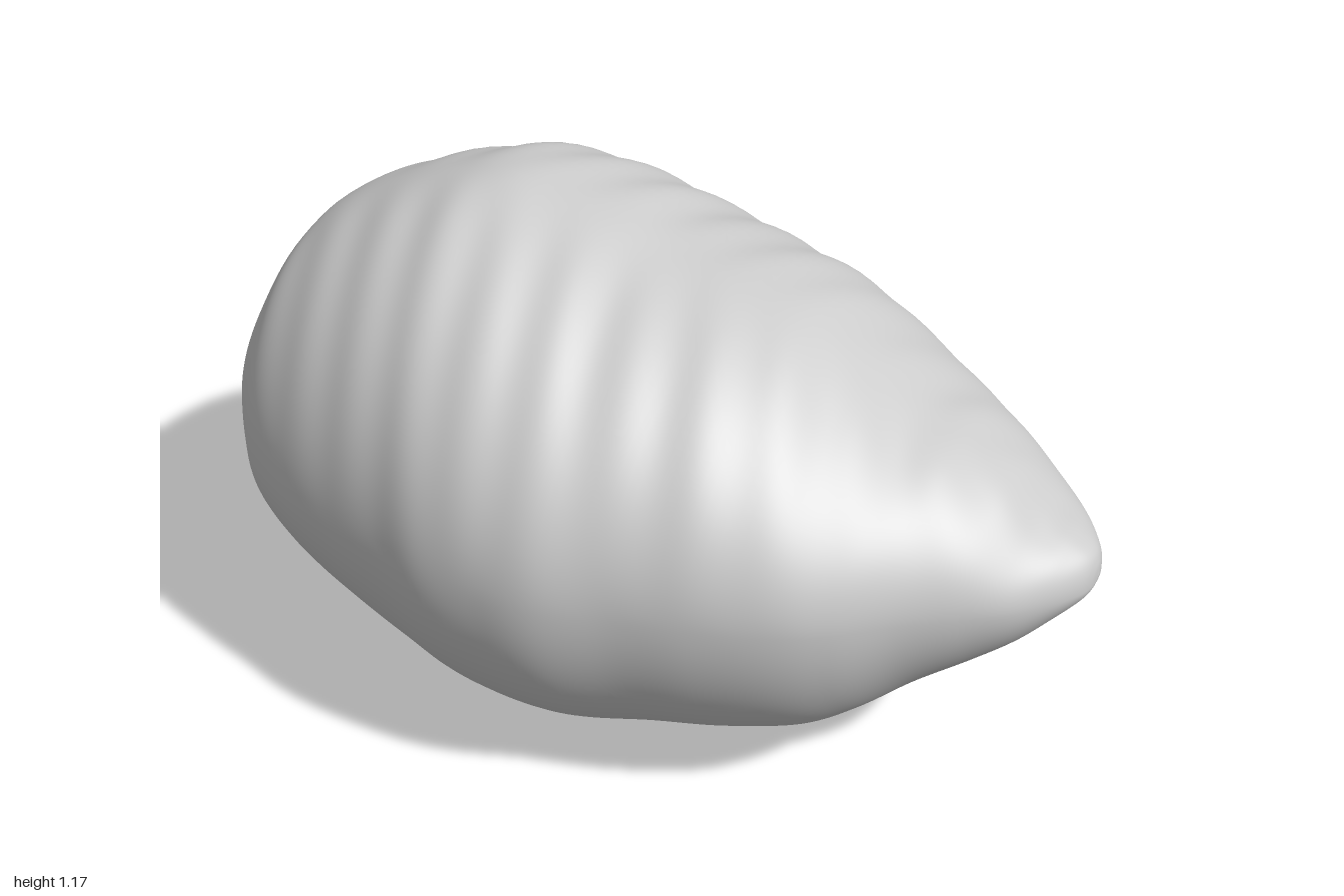
import * as THREE from 'three';

// Stations along the body: x, top y, bottom y, back half-width, front half-width
const STATIONS = [
  [-1, 0.54, 0.54, 0, 0],
  [-0.995, 0.58, 0.50, 0.05, 0.05],
  [-0.98, 0.615, 0.47, 0.10, 0.10],
  [-0.94, 0.67, 0.425, 0.17, 0.165],
  [-0.88, 0.80, 0.365, 0.26, 0.25],
  [-0.8, 0.935, 0.28, 0.36, 0.35],
  [-0.73, 1.01, 0.23, 0.43, 0.42],
  [-0.6, 1.085, 0.165, 0.49, 0.49],
  [-0.45, 1.145, 0.10, 0.54, 0.54],
  [-0.32, 1.172, 0.05, 0.588, 0.575],
  [-0.2, 1.155, 0.02, 0.62, 0.61],
  [-0.07, 1.125, 0.002, 0.615, 0.618],
  [0.05, 1.085, 0.012, 0.61, 0.61],
  [0.2, 1.055, 0.045, 0.57, 0.56],
  [0.35, 1.01, 0.08, 0.535, 0.52],
  [0.5, 0.92, 0.13, 0.48, 0.465],
  [0.6, 0.86, 0.20, 0.425, 0.405],
  [0.7, 0.825, 0.29, 0.35, 0.32],
  [0.8, 0.775, 0.37, 0.27, 0.25],
  [0.88, 0.71, 0.44, 0.21, 0.19],
  [0.94, 0.68, 0.505, 0.14, 0.125],
  [0.98, 0.655, 0.55, 0.075, 0.07],
  [0.995, 0.63, 0.575, 0.035, 0.035],
  [1, 0.60, 0.60, 0, 0],
];

// Smooth curve through chosen columns of the stations
const column = (a, b) => new THREE.CatmullRomCurve3(
  STATIONS.map((s) => new THREE.Vector3(s[0], s[a], s[b])), false, 'catmullrom', 0.5);

function bodyGeometry(rings, sides) {
  const heights = column(1, 2), widths = column(3, 4);
  const positions = [], index = [];
  for (let i = 0; i <= rings; i++) {
    const h = heights.getPoint(i / rings), w = widths.getPoint(i / rings);
    const x = h.x, top = h.y, bottom = h.z;
    const axis = Math.min(top, Math.max(bottom, 0.59 + 0.03 * Math.min(0, x)));
    for (let j = 0; j < sides; j++) {
      const a = (j / sides) * Math.PI * 2, s = Math.sin(a), c = Math.cos(a);
      // Faint growth ridges over the upper half, fading at the crown line and tips
      const fade = Math.max(0, s) * Math.min(1, Math.abs(c) * 3) * Math.max(0, 1 - x * x);
      const bump = 0.005 * fade * Math.sin(42 * x - 7 * Math.abs(c));
      const ry = (s > 0 ? top - axis : axis - bottom) + bump;
      const rz = (c > 0 ? w.z : w.y) + bump;
      positions.push(x, axis + s * ry, c * rz);
      if (i < rings) {
        const k = (j + 1) % sides, p = i * sides + j, q = i * sides + k;
        index.push(p, p + sides, q, q, p + sides, q + sides);
      }
    }
  }
  const g = new THREE.BufferGeometry();
  g.setAttribute('position', new THREE.Float32BufferAttribute(positions, 3));
  g.setIndex(index);
  // Ring order runs from +z towards +y while x grows, so flip if faces point inwards
  const probe = new THREE.Triangle(), v = [0, 1, 2].map(() => new THREE.Vector3());
  const mid = Math.floor(rings / 2) * sides * 6;
  v.forEach((p, n) => p.fromArray(positions, index[mid + n] * 3));
  const normal = probe.set(...v).getNormal(new THREE.Vector3());
  if (normal.z < 0) {
    for (let n = 0; n < index.length; n += 3) [index[n], index[n + 1]] = [index[n + 1], index[n]];
    g.setIndex(index);
  }
  g.computeVertexNormals();
  return g;
}

export function createModel() {
  const model = new THREE.Group();
  const grey = new THREE.MeshStandardMaterial({ color: 0xcccccc });
  grey.name = 'pale grey';
  // Single lumpy body tapering to a tip at each end
  const body = new THREE.Mesh(bodyGeometry(184, 96), grey);
  body.name = 'body';
  model.add(body);
  return model;
}
